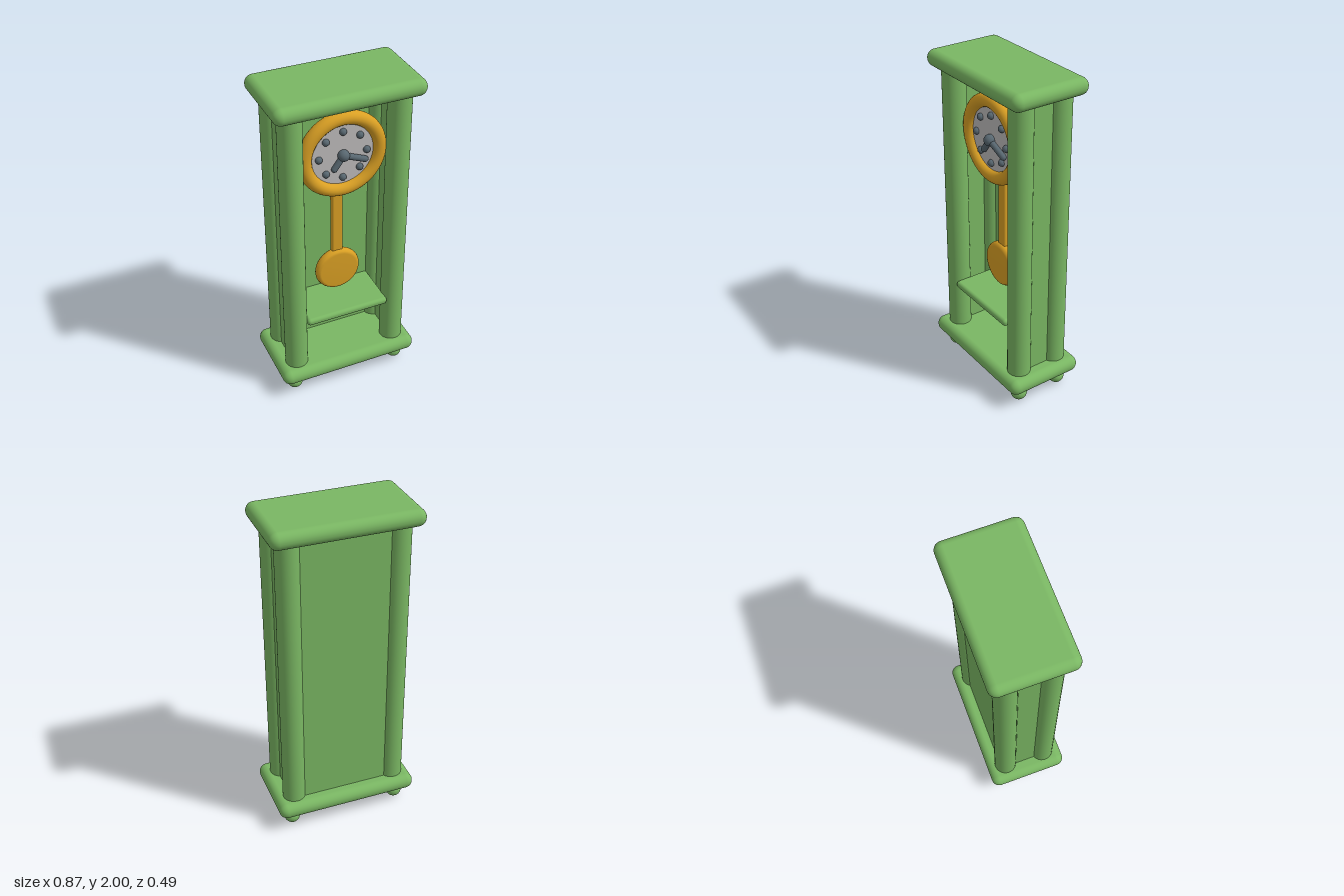
import * as THREE from 'three';
import { RoundedBoxGeometry } from 'three/addons/geometries/RoundedBoxGeometry.js';

function material(name, color) {
  const m = new THREE.MeshStandardMaterial({ color });
  m.name = name;
  return m;
}

export function createModel() {
  const model = new THREE.Group();
  model.name = 'longcaseClock';
  const green = material('green paint', 0x7ab763);
  const gold = material('gold', 0xdaa024);
  const grey = material('pale grey dial', 0xbebbbb);
  const slate = material('dark slate', 0x586770);

  function add(name, geometry, mat, x, y, z, parent = model) {
    const mesh = new THREE.Mesh(geometry, mat);
    mesh.name = name;
    mesh.position.set(x, y, z);
    parent.add(mesh);
    return mesh;
  }
  const rounded = (w, h, d, r) => new RoundedBoxGeometry(w, h, d, 5, r);

  // Top and bottom slabs
  add('topSlab', rounded(0.874, 0.1, 0.486, 0.049), green, 0, 1.95, 0);
  add('baseSlab', rounded(0.874, 0.1, 0.486, 0.049), green, 0, 0.145, 0);

  // Corner posts and ball feet
  for (const x of [-1, 1]) {
    for (const z of [-1, 1]) {
      add('post', new THREE.CylinderGeometry(0.069, 0.069, 1.75, 32), green, x * 0.319, 1.05, z * 0.126);
      add('foot', new THREE.SphereGeometry(0.049, 24, 16), green, x * 0.34, 0.049, z * 0.14);
    }
    add('sidePanel', new THREE.BoxGeometry(0.04, 1.75, 0.25), green, x * 0.325, 1.05, 0);
  }
  add('backPanel', new THREE.BoxGeometry(0.64, 1.75, 0.055), green, 0, 1.05, -0.135);
  add('shelf', rounded(0.52, 0.046, 0.31, 0.02), green, 0, 0.514, 0.035);

  // Pendulum: rod and rounded disc
  const pendulum = new THREE.Group();
  pendulum.name = 'pendulum';
  model.add(pendulum);
  add('pendulumRod', rounded(0.068, 0.75, 0.04, 0.012), gold, 0, 1.15, 0.01, pendulum);
  const rim = [[0, -0.03], [0.115, -0.03], [0.129, -0.025], [0.137, -0.013], [0.14, 0],
    [0.137, 0.013], [0.129, 0.025], [0.115, 0.03], [0, 0.03]];
  const bob = new THREE.LatheGeometry(rim.map(([r, y]) => new THREE.Vector2(r, y)), 40);
  add('pendulumBob', bob.rotateX(Math.PI / 2), gold, 0, 0.74, 0.02, pendulum);

  // Clock head: ring, backing and dial
  const clock = new THREE.Group();
  clock.name = 'clockHead';
  clock.position.set(0, 1.572, 0.085);
  model.add(clock);
  add('clockRing', new THREE.TorusGeometry(0.223, 0.04, 20, 56), gold, 0, 0, 0, clock);
  add('clockBacking', new THREE.CylinderGeometry(0.21, 0.21, 0.03, 48).rotateX(Math.PI / 2), gold, 0, 0, -0.02, clock);
  add('dial', new THREE.CylinderGeometry(0.2, 0.2, 0.008, 48).rotateX(Math.PI / 2), grey, 0, 0, 0.002, clock);

  // Hour dots
  for (let i = 0; i < 8; i++) {
    const a = (i * Math.PI) / 4;
    add('hourDot', new THREE.SphereGeometry(0.021, 16, 12), slate,
      0.143 * Math.cos(a), 0.143 * Math.sin(a), 0.01, clock);
  }

  // Hands and hub
  function hand(name, x, y) {
    const length = Math.hypot(x, y);
    const mesh = add(name, new THREE.CapsuleGeometry(0.018, length, 6, 16), slate, x / 2, y / 2, 0.02, clock);
    mesh.rotation.z = Math.atan2(y, x) - Math.PI / 2;
  }
  hand('minuteHand', 0.13, -0.053);
  hand('hourHand', -0.055, -0.075);
  add('handHub', new THREE.SphereGeometry(0.034, 24, 16), slate, 0, 0, 0.02, clock);

  return model;
}
